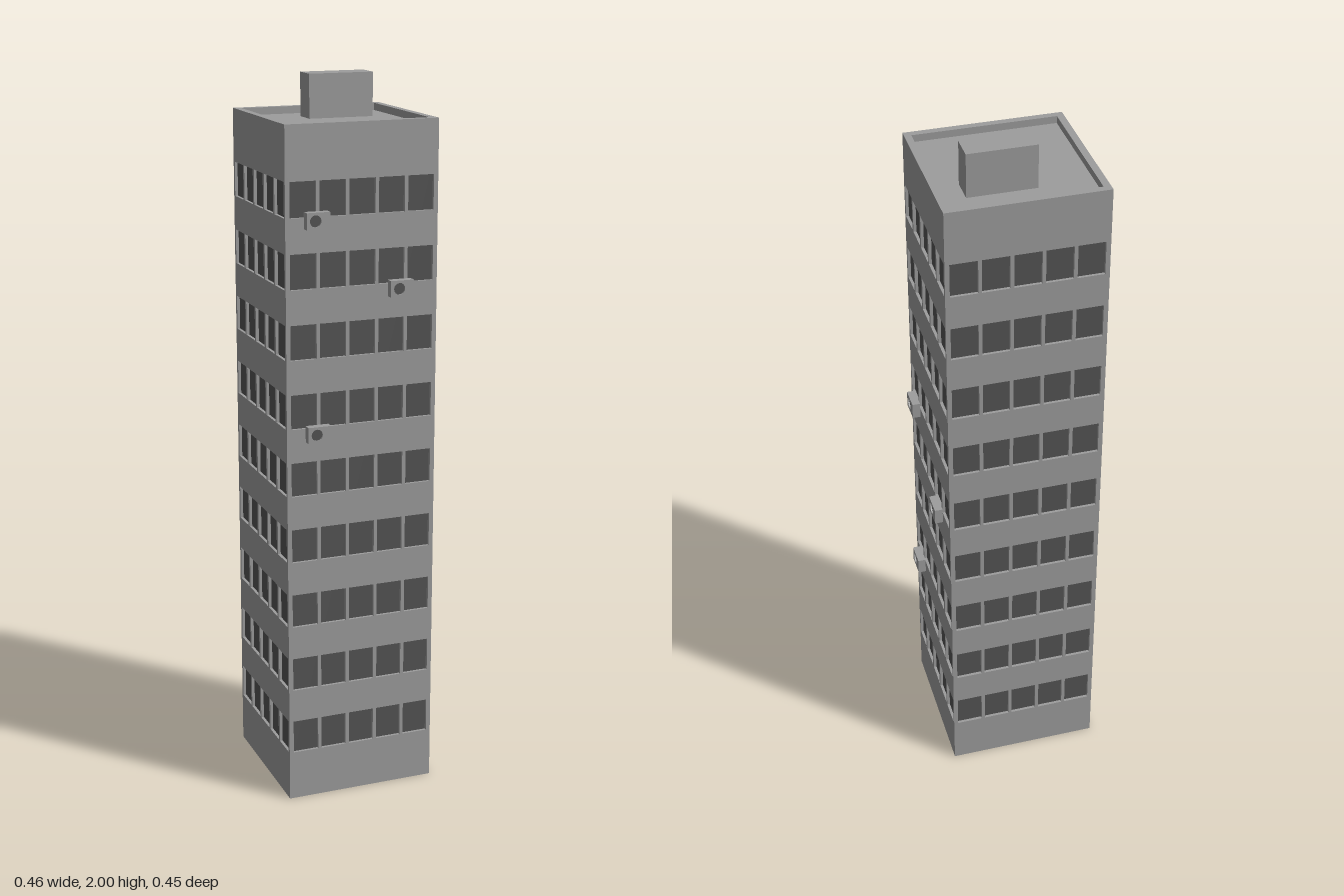
import * as THREE from 'three';

const grey = new THREE.MeshStandardMaterial({ color: 0x9d9d9d, flatShading: true });
const dark = new THREE.MeshStandardMaterial({ color: 0x545454, flatShading: true });

const X0 = -0.23, X1 = 0.201, Z0 = -0.227, Z1 = 0.199; // outer walls
const CX = (X0 + X1) / 2, CZ = (Z0 + Z1) / 2, W = X1 - X0, D = Z1 - Z0;
const H = 1.9, ROOF = 1.88, PARAPET = 0.0195, RECESS = 0.008;

function add(parent, name, geometry, material, x = 0, y = 0, z = 0) {
  const mesh = new THREE.Mesh(geometry, material);
  mesh.name = name;
  mesh.position.set(x, y, z);
  parent.add(mesh);
  return mesh;
}

// Box given by its minimum and maximum corners
function addBox(parent, name, [ax, ay, az], [bx, by, bz], material = grey) {
  return add(parent, name, new THREE.BoxGeometry(bx - ax, by - ay, bz - az), material,
    (ax + bx) / 2, (ay + by) / 2, (az + bz) / 2);
}

function rect(x0, y0, x1, y1, Type = THREE.Shape) {
  return new Type([[x0, y0], [x1, y0], [x1, y1], [x0, y1]].map(p => new THREE.Vector2(...p)));
}

// Wall sheet with nine rows of five window openings
function facadeGeometry(width) {
  const shape = rect(-width / 2, 0, width / 2, H);
  const w = 0.0735, pitch = 0.0832;
  for (let row = 0; row < 9; row++) {
    const y = 0.142 + row * 0.1895;
    for (let col = -2; col <= 2; col++) {
      shape.holes.push(rect(col * pitch - w / 2, y, col * pitch + w / 2, y + 0.095, THREE.Path));
    }
  }
  return new THREE.ExtrudeGeometry(shape, { depth: RECESS, bevelEnabled: false });
}

// Outdoor air-conditioning unit facing +z, with a round fan opening
function airConditioner(depth) {
  const unit = new THREE.Group();
  unit.name = 'airConditioner';
  const w = 0.065, h = 0.045, lip = 0.005;
  const front = rect(-w / 2, -h / 2, w / 2, h / 2);
  front.holes.push(new THREE.Path().absarc(-0.008, 0, 0.016, 0, Math.PI * 2, true));
  add(unit, 'unitFront', new THREE.ExtrudeGeometry(front, { depth: lip, bevelEnabled: false, curveSegments: 8 }),
    grey, 0, 0, depth / 2 - lip);
  add(unit, 'unitBody', new THREE.BoxGeometry(w, h, depth - lip), grey, 0, 0, -lip / 2);
  add(unit, 'fan', new THREE.CircleGeometry(0.016, 16), dark, -0.008, 0, depth / 2 - lip + 0.0005);
  return unit;
}

export function createModel() {
  const model = new THREE.Group();
  model.name = 'towerBlock';

  // Four walls; the side walls fit between the front and back
  const wide = facadeGeometry(W), narrow = facadeGeometry(D - 2 * RECESS);
  add(model, 'frontWall', wide, grey, CX, 0, Z1 - RECESS);
  add(model, 'backWall', wide, grey, CX, 0, Z0 + RECESS).rotation.y = Math.PI;
  add(model, 'leftWall', narrow, grey, X1 - RECESS, 0, CZ).rotation.y = Math.PI / 2;
  add(model, 'rightWall', narrow, grey, X0 + RECESS, 0, CZ).rotation.y = -Math.PI / 2;

  // Core behind the walls: base, dark glazing, roof slab
  const r = RECESS;
  addBox(model, 'base', [X0 + r, 0, Z0 + r], [X1 - r, 0.1, Z1 - r]);
  addBox(model, 'glazing', [X0 + r, 0.1, Z0 + r], [X1 - r, 1.8, Z1 - r], dark);
  addBox(model, 'roof', [X0 + r, 1.8, Z0 + r], [X1 - r, ROOF, Z1 - r]);

  // Parapet inside the wall tops
  const ring = rect(-W / 2 + r, -D / 2 + r, W / 2 - r, D / 2 - r);
  ring.holes.push(rect(-W / 2 + PARAPET, -D / 2 + PARAPET, W / 2 - PARAPET, D / 2 - PARAPET, THREE.Path));
  const parapet = new THREE.ExtrudeGeometry(ring, { depth: H - ROOF, bevelEnabled: false });
  add(model, 'parapet', parapet.rotateX(-Math.PI / 2), grey, CX, ROOF, CZ);

  addBox(model, 'roofHousing', [-0.065, ROOF, -0.136], [0.12, 2, -0.065]);

  // Air conditioners on the front (x, y) and on the left side (z, y)
  for (const [x, y] of [[-0.148, 1.652], [0.089, 1.457], [-0.146, 1.076]]) {
    const unit = airConditioner(0.023);
    unit.position.set(x, y, 0.2155);
    model.add(unit);
  }
  for (const [z, y] of [[0.101, 1.103], [-0.138, 0.911], [0.098, 0.527]]) {
    const unit = airConditioner(0.022);
    unit.position.set(0.218, y, z);
    unit.rotation.y = Math.PI / 2;
    model.add(unit);
  }
  return model;
}
